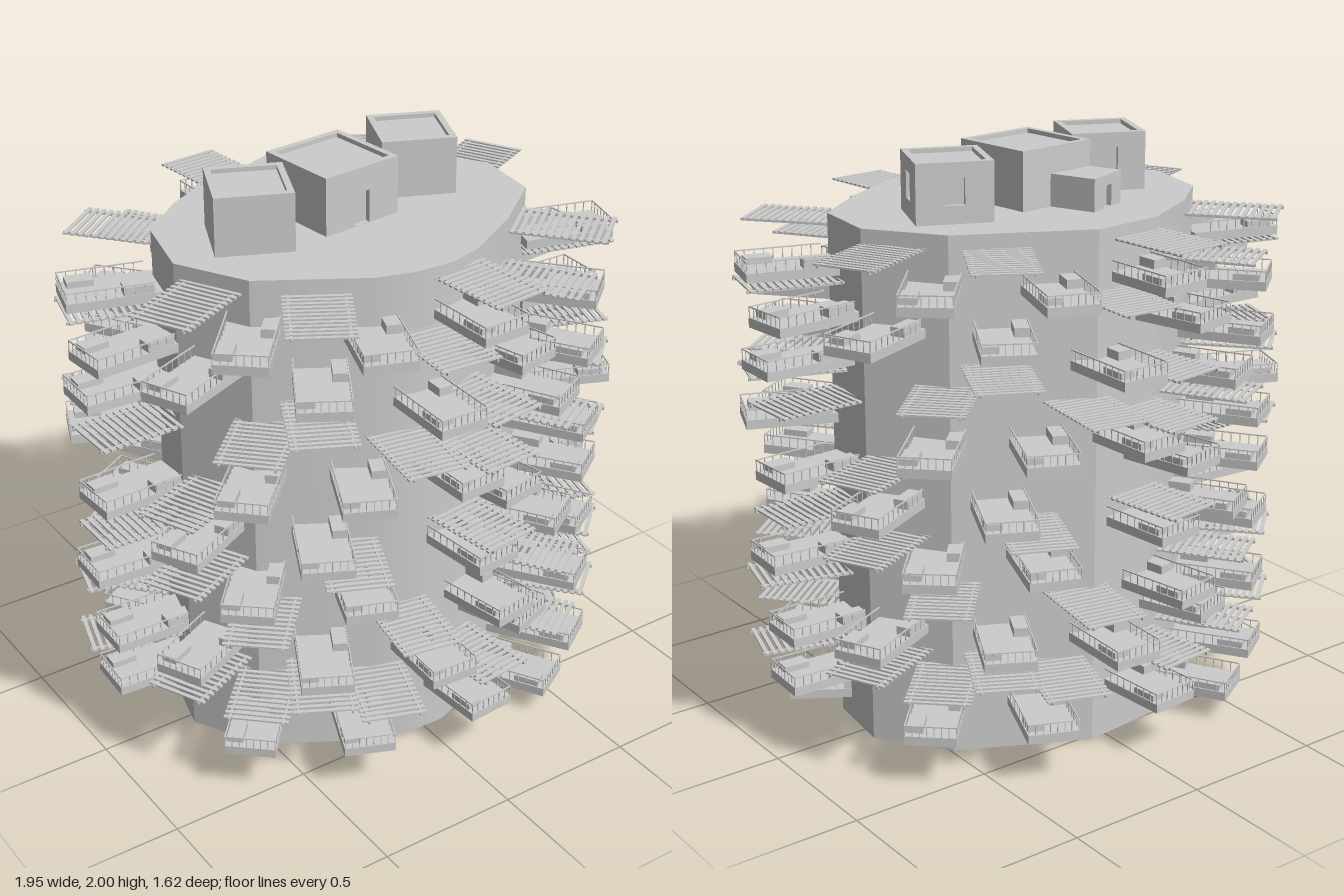
import * as THREE from 'three';
import { mergeGeometries, toCreasedNormals } from 'three/addons/utils/BufferGeometryUtils.js';

const grey = new THREE.MeshStandardMaterial({ color: 0xcccccc });

function named(geometry, name) {
  const mesh = new THREE.Mesh(geometry, grey);
  mesh.name = name;
  return mesh;
}

// Box standing on height y, centred on x and z
function block(w, h, d, x, y, z) {
  return new THREE.BoxGeometry(w, h, d).translate(x, y + h / 2, z);
}

// Tower plan as x, z corners
const plan = [
  [0.63, 0.18], [0.42, 0.35], [0.19, 0.485], [0.07, 0.52], [-0.07, 0.515], [-0.2, 0.48],
  [-0.535, 0.28], [-0.665, 0.04], [-0.6, -0.22], [-0.43, -0.37], [-0.2, -0.5],
  [0.06, -0.525], [0.49, -0.31], [0.66, -0.07],
];

// Stacks of one half of the facade: x, z, outward angle in degrees, heights.
// The other half is the same turned by 180 degrees.
const balconies = [
  { x: 0.82, z: 0.03, angle: -3, heights: [0.97, 1.49] },
  { x: 0.82, z: 0.09, angle: 3, heights: [0.66, 1.33] },
  { x: 0.78, z: 0.06, angle: 3, heights: [0.22, 0.4] },
  { x: 0.77, z: 0.22, angle: 16, heights: [1.61] },
  { x: 0.75, z: 0.28, angle: 22, heights: [1.09] },
  { x: 0.65, z: 0.21, angle: 32, heights: [0.08] },
  { x: 0.61, z: 0.39, angle: 50, heights: [1.49] },
  { x: 0.55, z: 0.46, angle: 57, heights: [0.17, 0.43, 0.67, 0.88, 1.04, 1.33] },
  { x: 0.39, z: 0.53, angle: 60, heights: [0.08, 0.76, 1.23] },
  { x: 0.27, z: 0.56, angle: 70, heights: [0.43] },
  { x: 0.22, z: 0.59, angle: 76, heights: [1.47] },
  { x: 0.175, z: 0.61, angle: 80, heights: [0.53, 1.0] },
  { x: 0.09, z: 0.62, angle: 86, heights: [0.18, 0.78, 1.62] },
  { x: 0.02, z: 0.62, angle: 88, heights: [1.09] },
  { x: -0.055, z: 0.62, angle: 93, heights: [0.38, 1.34] },
  { x: -0.25, z: 0.57, angle: 110, heights: [1.6] },
  { x: -0.3, z: 0.56, angle: 113, heights: [0.16, 0.7, 1.09] },
  { x: -0.42, z: 0.51, angle: 118, heights: [0.43, 0.88, 1.46] },
  { x: -0.6, z: 0.37, angle: 132, heights: [0.16, 0.7, 1.09, 1.61] },
  { x: -0.72, z: 0.23, angle: 154, heights: [0.43, 0.88, 1.46] },
];
const pergolas = [
  { x: 0.8, z: 0.05, angle: 0, heights: [0.84, 1.21] },
  { x: 0.77, z: 0.2, angle: 16, heights: [0.31, 0.56, 1.29, 1.585] },
  { x: 0.61, z: 0.41, angle: 50, heights: [0.36, 0.61, 1.03, 1.29, 1.74] },
  { x: 0.42, z: 0.53, angle: 58, heights: [0.34, 0.6, 1.175, 1.64] },
  { x: 0.12, z: 0.63, angle: 84, heights: [0.34, 0.87, 1.17, 1.34, 1.75] },
  { x: -0.05, z: 0.64, angle: 94, heights: [1.585] },
  { x: -0.14, z: 0.63, angle: 100, heights: [0.56, 1.23] },
  { x: -0.24, z: 0.6, angle: 110, heights: [0.31] },
  { x: -0.34, z: 0.56, angle: 114, heights: [0.84] },
  { x: -0.43, z: 0.51, angle: 118, heights: [0.36, 1.365, 1.74] },
  { x: -0.58, z: 0.39, angle: 133, heights: [0.31, 0.61, 1.29] },
  { x: -0.72, z: 0.22, angle: 155, heights: [0.36, 0.77, 1.03, 1.74] },
];

// Slab, planters and railing; +x points away from the wall
function balconyGeometry() {
  const parts = [
    block(0.32, 0.032, 0.175, -0.01, 0, 0),
    block(0.09, 0.022, 0.055, 0.08, 0.032, 0.055),
    block(0.1, 0.03, 0.05, -0.09, 0.032, -0.06),
  ];
  const rail = 0.004, top = 0.07;
  for (const side of [-1, 1]) {
    parts.push(block(0.29, rail, rail, 0.003, top - rail, side * 0.085));
    for (let i = 0; i < 9; i++) {
      parts.push(block(0.003, top - 0.032, 0.003, 0.147 - i * 0.032, 0.032, side * 0.085));
    }
  }
  parts.push(block(rail, rail, 0.17, 0.147, top - rail, 0));
  for (let i = 1; i < 7; i++) {
    parts.push(block(0.003, top - 0.032, 0.003, 0.147, 0.032, -0.085 + i * 0.0243));
  }
  return mergeGeometries(parts);
}

// Slatted sunshade on two arms
function pergolaGeometry() {
  const parts = [];
  for (const side of [-1, 1]) parts.push(block(0.34, 0.01, 0.008, -0.005, 0, side * 0.09));
  for (let i = 0; i < 13; i++) parts.push(block(0.014, 0.006, 0.22, 0.152 - i * 0.0255, 0.006, 0));
  return mergeGeometries(parts);
}

// Square roof hut, its roof sunk below the wall tops; openings[i] = [width, sill, head],
// walls in the order +z, +x, -z, -x
function roofHut(name, x, z, size, height, turn, sunk, openings) {
  const hut = new THREE.Group();
  hut.name = name;
  const half = size / 2, thick = 0.022;
  const walls = [];
  for (let i = 0; i < 4; i++) {
    const shape = new THREE.Shape();
    shape.moveTo(-half, 0).lineTo(half, 0).lineTo(half, height).lineTo(-half, height).closePath();
    if (openings[i]) {
      const [w, sill, head] = openings[i];
      const hole = new THREE.Path();
      hole.moveTo(-w / 2, sill).lineTo(-w / 2, head).lineTo(w / 2, head).lineTo(w / 2, sill).closePath();
      shape.holes.push(hole);
    }
    const wall = new THREE.ExtrudeGeometry(shape, { depth: thick, bevelEnabled: false });
    walls.push(wall.translate(0, 0, half - thick).rotateY(i * Math.PI / 2));
  }
  hut.add(named(mergeGeometries(walls), 'hutWalls'));
  const inner = size - thick * 1.6;
  hut.add(named(block(inner, height - sunk, inner, 0, 0, 0), 'hutCore'));
  hut.position.set(x, 1.8, z);
  hut.rotation.y = turn;
  return hut;
}

// Copies of one part up each stack, slightly turned by a repeating rhythm
function addStacks(parent, geometry, name, stacks) {
  for (const { x, z, angle, heights } of stacks) {
    heights.forEach((y, i) => {
      const part = named(geometry, name);
      part.position.set(x, y, z);
      part.rotation.y = -THREE.MathUtils.degToRad(angle) + 0.04 * Math.sin(2.4 * i);
      parent.add(part);
    });
  }
}

export function createModel() {
  const model = new THREE.Group();
  model.name = 'balconyTower';

  // Tower body
  const outline = new THREE.Shape(plan.map(([x, z]) => new THREE.Vector2(x, -z)));
  const body = new THREE.ExtrudeGeometry(outline, { depth: 1.8, bevelEnabled: false });
  model.add(named(toCreasedNormals(body.rotateX(-Math.PI / 2), 0.4), 'towerBody'));

  // Roof huts
  const window = [0.065, 0.06, 0.15], door = [0.06, 0.002, 0.115];
  model.add(
    roofHut('leftHut', 0.336, -0.083, 0.256, 0.2, -0.4, 0.015, [null, window, window, null]),
    roofHut('middleHut', -0.022, -0.027, 0.305, 0.2, 0.107, 0.015, [door, null, null, null]),
    roofHut('rightHut', -0.365, 0.01, 0.258, 0.2, -0.41, 0.015, [null, null, window, null]),
    roofHut('smallHut', -0.12, -0.222, 0.175, 0.11, 0.38, 0, [null, null, [0.05, 0.002, 0.075], null]),
  );

  // Balconies and sunshades on both halves
  const balcony = balconyGeometry(), pergola = pergolaGeometry();
  for (const half of [0, 1]) {
    const facade = new THREE.Group();
    facade.name = half ? 'backFacade' : 'frontFacade';
    facade.rotation.y = half * Math.PI;
    addStacks(facade, balcony, 'balcony', balconies);
    addStacks(facade, pergola, 'pergola', pergolas);
    model.add(facade);
  }
  return model;
}
